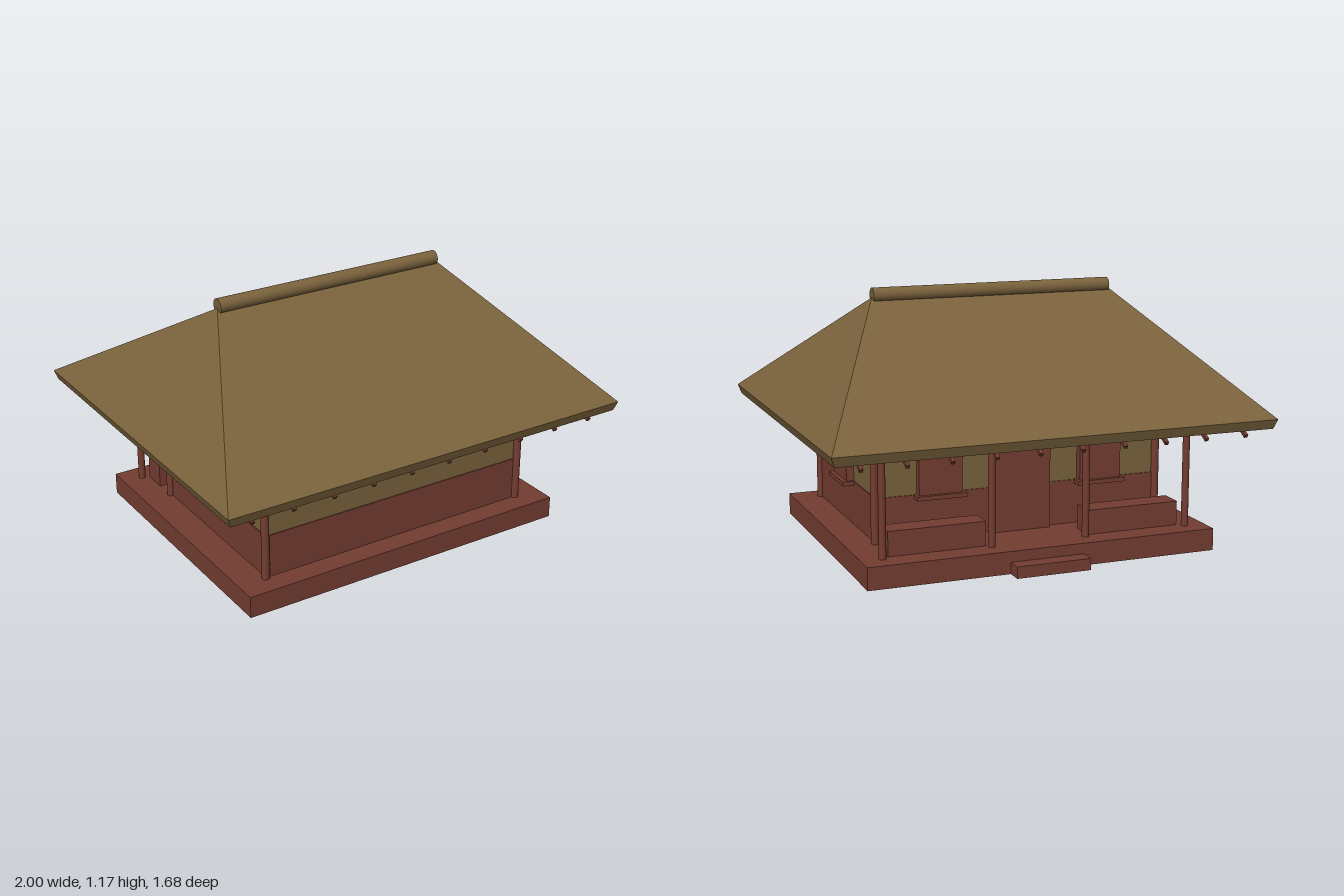
import * as THREE from 'three';

const thatch = new THREE.MeshStandardMaterial({ color: 0x7a623c });
thatch.name = 'thatch and clay';
const wood = new THREE.MeshStandardMaterial({ color: 0x743d31 });
wood.name = 'red wood and stone';

function add(parent, name, geometry, material, x = 0, y = 0, z = 0) {
  const mesh = new THREE.Mesh(geometry, material);
  mesh.name = name;
  mesh.position.set(x, y, z);
  parent.add(mesh);
  return mesh;
}

// Box given by its minimum and maximum on each axis
function block(parent, name, material, [x0, x1], [y0, y1], [z0, z1]) {
  return add(parent, name, new THREE.BoxGeometry(x1 - x0, y1 - y0, z1 - z0), material,
    (x0 + x1) / 2, (y0 + y1) / 2, (z0 + z1) / 2);
}

function post(parent, name, x, z, radius, top) {
  add(parent, name, new THREE.CylinderGeometry(radius, radius, top - 0.1, 16), wood, x, (top + 0.1) / 2, z);
}

// Skin through rectangular rings, each [half width, height, half depth]
function ringSkin(rings) {
  const corners = rings.map(([x, y, z]) =>
    [[-x, y, z], [x, y, z], [x, y, -z], [-x, y, -z]].map(p => new THREE.Vector3(...p)));
  const points = [];
  const triangle = (a, b, c) => {
    if (new THREE.Triangle(a, b, c).getArea() > 1e-6) points.push(a, b, c);
  };
  for (let r = 0; r + 1 < rings.length; r++) {
    for (let i = 0; i < 4; i++) {
      const j = (i + 1) % 4, a = corners[r], b = corners[r + 1];
      triangle(a[i], a[j], b[j]);
      triangle(a[i], b[j], b[i]);
    }
  }
  const geometry = new THREE.BufferGeometry().setFromPoints(points);
  geometry.computeVertexNormals();
  return geometry;
}

// Shuttered window facing +z, with its origin on the wall
function makeWindow(name) {
  const g = new THREE.Group();
  g.name = name;
  block(g, 'shutter', wood, [-0.1, 0.1], [0.3, 0.507], [-0.01, 0.03]);
  block(g, 'lintel', wood, [-0.12, 0.12], [0.505, 0.528], [-0.01, 0.05]);
  block(g, 'sill', wood, [-0.115, 0.115], [0.283, 0.302], [-0.01, 0.05]);
  return g;
}

export function createModel() {
  const model = new THREE.Group();
  model.name = 'thatchedHouse';

  // Platform and step
  block(model, 'platform', wood, [-0.805, 0.805], [0, 0.1], [-0.65, 0.65]);
  block(model, 'step', wood, [-0.17, 0.17], [0, 0.052], [-0.722, -0.64]);

  // Walls with a stone lower course
  block(model, 'lowerWall', wood, [-0.67, 0.67], [0.1, 0.3], [-0.33, 0.55]);
  block(model, 'upperWall', thatch, [-0.665, 0.665], [0.3, 0.72], [-0.325, 0.545]);

  // Door and windows
  block(model, 'door', wood, [-0.135, 0.135], [0.1, 0.52], [-0.36, -0.32]);
  for (const s of [-1, 1]) {
    const side = makeWindow('sideWindow');
    side.position.set(s * 0.67, 0, 0.107);
    side.rotation.y = s * Math.PI / 2;
    const back = makeWindow('backWindow');
    back.position.set(s * 0.38, 0, -0.33);
    back.rotation.y = Math.PI;
    model.add(side, back);

    // Posts and porch benches
    post(model, 'cornerPost', s * 0.672, 0.55, 0.018, 0.62);
    post(model, 'cornerPost', s * 0.672, -0.328, 0.018, 0.62);
    for (const x of [0.22, 0.71]) post(model, 'porchPost', s * x, -0.555, 0.016, 0.62);
    const bench = s > 0 ? [0.24, 0.68] : [-0.68, -0.24];
    block(model, 'bench', wood, bench, [0.1, 0.21], [-0.535, -0.425]);
  }

  // Beams carrying the rafters
  for (const z of [0.55, -0.555]) {
    block(model, 'eaveBeam', wood, [-0.75, 0.75], [0.6, 0.635], [z - 0.018, z + 0.018]);
  }

  // Rafters follow the slope and stop at the hip
  const slope = 0.6;
  for (let i = 0; i < 10; i++) {
    const x = -0.868 + i * 0.1929;
    const hip = 0.575 + (0.985 - Math.abs(x)) * 1.17;
    const end = Math.max(0.03, 0.8 - (hip - 0.545) / slope);
    const length = (0.8 - end) * Math.hypot(1, slope);
    for (const s of [-1, 1]) {
      const rafter = add(model, 'rafter', new THREE.BoxGeometry(0.016, 0.016, length), wood,
        x, 0.547 + slope * (0.8 - end) / 2, s * (0.8 + end) / 2);
      rafter.rotation.x = s * Math.atan(slope);
    }
  }

  // Hollow hipped roof: underside, eave edge, outer slopes
  add(model, 'roof', ringSkin([
    [0.56, 1.07, 0],
    [0.985, 0.577, 0.828],
    [1, 0.62, 0.842],
    [0.57, 1.125, 0],
  ]), thatch);

  // Ridge roll
  const ridge = add(model, 'ridgeRoll', new THREE.CylinderGeometry(0.034, 0.034, 1.14, 20), thatch, 0, 1.134, 0);
  ridge.rotation.z = Math.PI / 2;

  return model;
}
